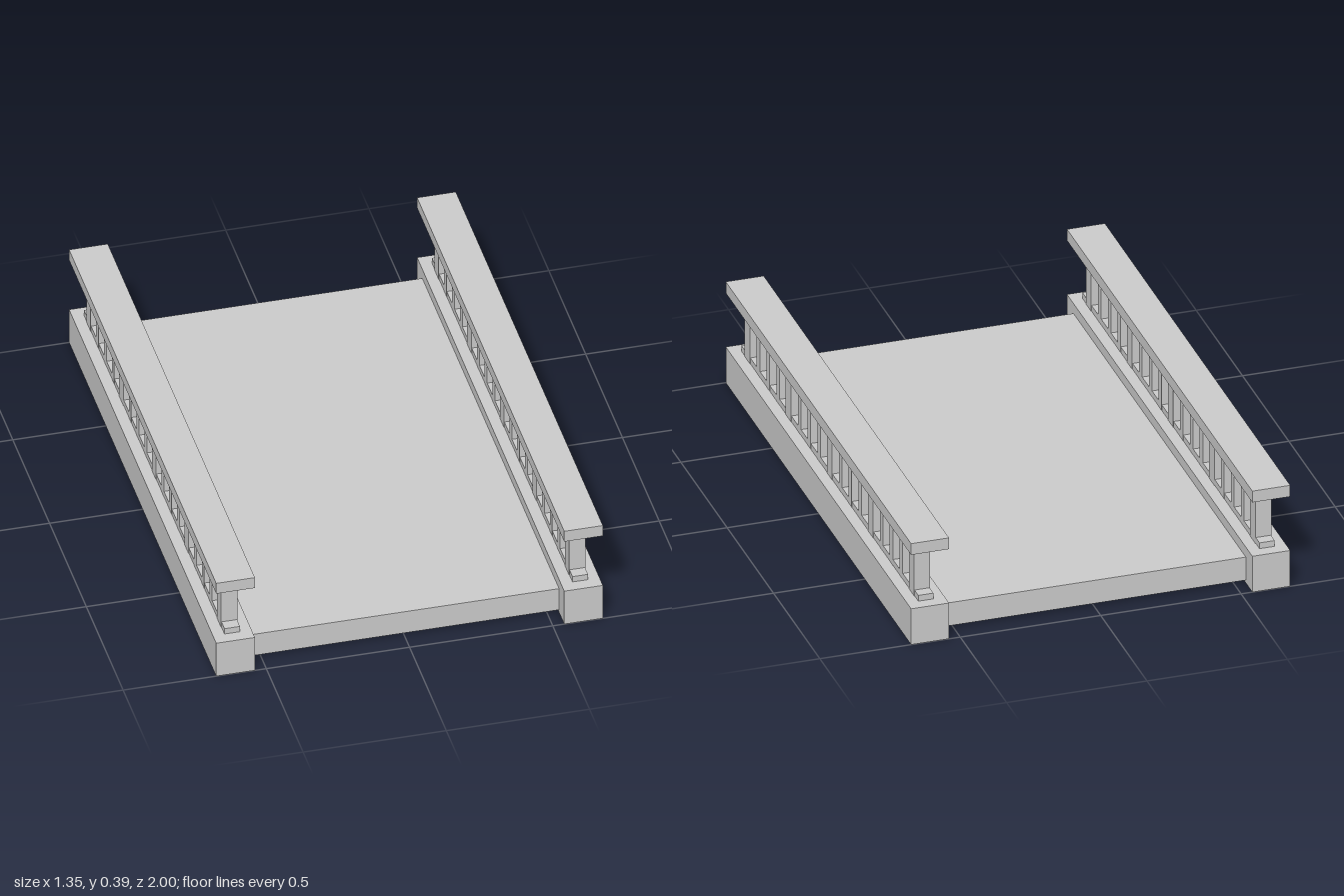
import * as THREE from 'three';

const material = new THREE.MeshStandardMaterial({
  color: 0xcccccc, flatShading: true, side: THREE.DoubleSide,
});

// Hollow box without a floor, given by its centre x/z, its size and its bottom and top heights
function shell(name, x, z, width, depth, bottom, top) {
  const geometry = new THREE.BoxGeometry(width, top - bottom, depth);
  const index = Array.from(geometry.index.array);
  index.splice(18, 6); // drop the underside
  geometry.setIndex(index);
  geometry.clearGroups();
  const mesh = new THREE.Mesh(geometry, material);
  mesh.name = name;
  mesh.position.set(x, (bottom + top) / 2, z);
  return mesh;
}

// One parapet: curb, plinth, posts with balusters between them, and handrail
function parapet(name, side) {
  const group = new THREE.Group();
  group.name = name;
  const x = side * 0.6075;
  group.add(shell('curb', x, 0, 0.135, 2, 0, 0.137));
  group.add(shell('plinth', x, 0, 0.054, 1.91, 0.03, 0.159));
  group.add(shell('handrail', x, 0, 0.135, 2, 0.343, 0.386));

  const bay = 0.443;
  for (let i = -2; i <= 2; i++) {
    group.add(shell('post', x, i * bay, 0.057, 0.056, 0.03, 0.384));
    if (i === 2) continue;
    // three slim balusters in each bay
    for (const offset of [-0.106, 0, 0.106]) {
      group.add(shell('baluster', x, (i + 0.5) * bay + offset, 0.055, 0.033, 0.03, 0.384));
    }
  }
  return group;
}

export function createModel() {
  const model = new THREE.Group();
  model.name = 'bridge';
  model.add(shell('deck', 0, 0, 1.08, 1.86, 0.011, 0.099));
  model.add(parapet('leftParapet', 1), parapet('rightParapet', -1));
  return model;
}
